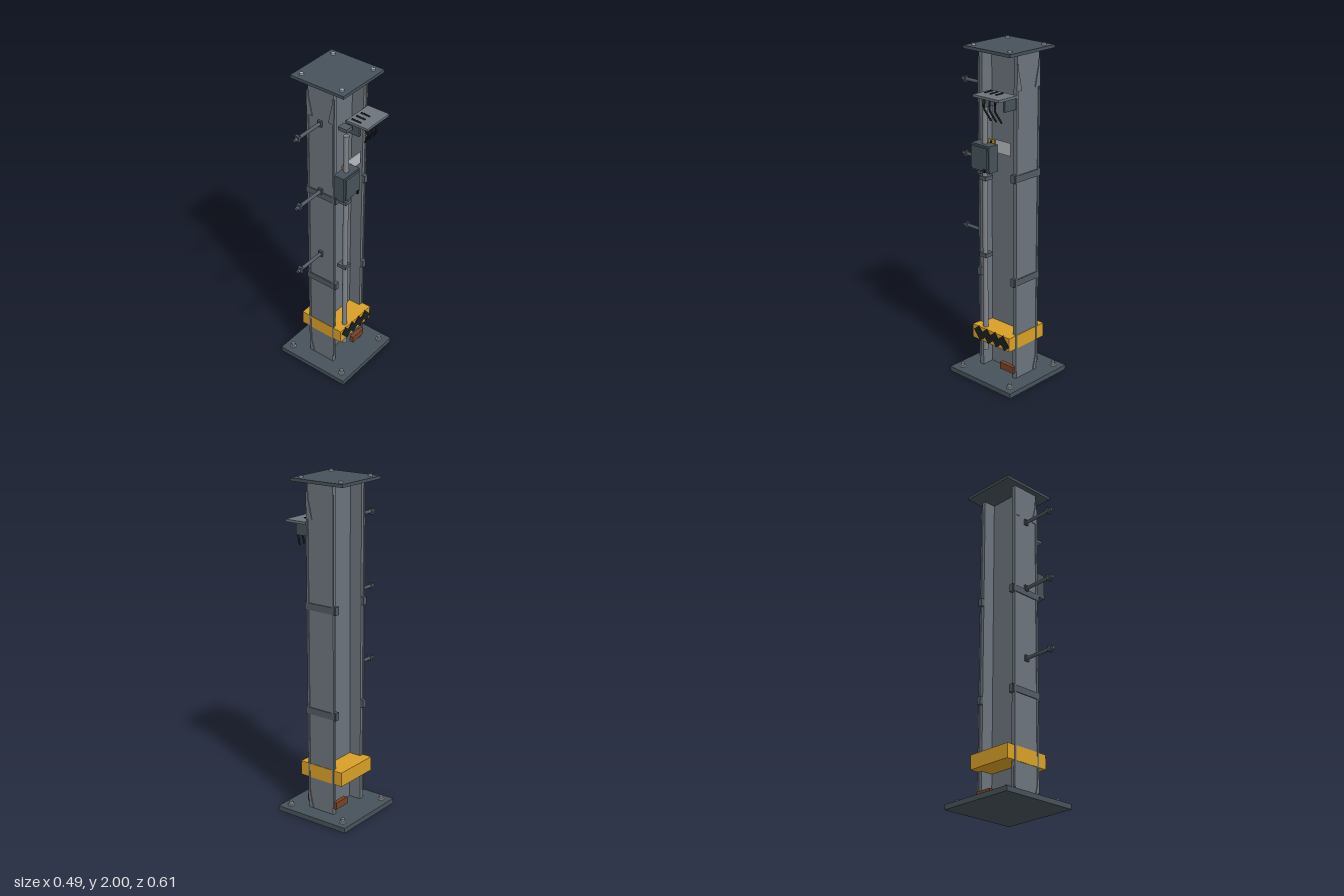
import * as THREE from 'three';

export function createModel() {
  const model = new THREE.Group();
  model.name = 'steelColumn';
  const mat = (name, color) => {
    const m = new THREE.MeshStandardMaterial({ color });
    m.name = name;
    return m;
  };
  const steel = mat('column steel', 0x6c747c);
  const slate = mat('dark plate', 0x46525a);
  const band = mat('band steel', 0x525a62);
  const pipe = mat('conduit grey', 0x80848a);
  const zinc = mat('zinc bolts', 0xa6acb2);
  const yellow = mat('safety yellow', 0xd9a026);
  const black = mat('black', 0x1c1d1f);
  const rust = mat('rust', 0x7a4228);
  const label = mat('label silver', 0xb8bcc0);

  const add = (name, geo, material, x = 0, y = 0, z = 0) => {
    const m = new THREE.Mesh(geo, material);
    m.name = name;
    m.position.set(x, y, z);
    model.add(m);
    return m;
  };
  // box given by its limits on each axis
  const box = (name, material, x0, x1, y0, y1, z0, z1) =>
    add(name, new THREE.BoxGeometry(x1 - x0, y1 - y0, z1 - z0), material,
      (x0 + x1) / 2, (y0 + y1) / 2, (z0 + z1) / 2);
  const rod = (name, material, r, y0, y1, x, z, sides = 16) =>
    add(name, new THREE.CylinderGeometry(r, r, y1 - y0, sides), material, x, (y0 + y1) / 2, z);

  const cz = -0.06; // column axis
  const face = 0.144; // axis to outer flange face

  // end plates and their bolts
  box('basePlate', slate, -0.245, 0.245, 0, 0.03, cz - 0.245, cz + 0.245);
  box('topPlate', slate, -0.178, 0.178, 1.972, 1.99, cz - 0.176, cz + 0.176);
  for (const sx of [-1, 1]) for (const sz of [-1, 1]) {
    const x = sx * 0.192, z = cz + sz * 0.192;
    rod('baseWasher', zinc, 0.019, 0.03, 0.038, x, z, 12);
    rod('baseNut', pipe, 0.012, 0.038, 0.056, x, z, 6);
    rod('topBolt', zinc, 0.013, 1.99, 2.0, sx * 0.135, cz + sz * 0.135, 6);
  }

  // I-section column
  box('web', steel, -0.011, 0.011, 0.03, 1.972, cz - 0.125, cz + 0.125);
  const gusset = (name, y0, h, w) => {
    for (const sx of [-1, 1]) for (const sz of [-1, 1]) {
      const s = new THREE.Shape();
      const pts = [[sx * 0.088, y0], [sx * (0.088 - w), y0], [sx * 0.088, y0 + h]];
      s.setFromPoints(pts.map(p => new THREE.Vector2(...p)));
      const g = new THREE.ExtrudeGeometry(s, { depth: 0.006, bevelEnabled: false });
      add(name, g, steel, 0, 0, cz + sz * (face + 0.002) - 0.003);
    }
  };
  gusset('topGusset', 1.77, 0.15, 0.034);
  gusset('footGusset', 0.035, 0.12, 0.03);
  for (const s of [-1, 1]) {
    const z = cz + s * (face - 0.0125);
    box('flange', steel, -0.088, 0.088, 0.03, 1.972, z - 0.0125, z + 0.0125);
    for (const sx of [-1, 1])
      box('edgeWeld', steel, sx * 0.087 - 0.006, sx * 0.087 + 0.006, 0.08, 1.92,
        cz + s * face - 0.005, cz + s * face + 0.005);

    // straps across each flange with end clips
    for (const y of [0.647, 1.273]) {
      const zo = cz + s * face;
      box('strap', band, -0.1, 0.1, y - 0.02, y + 0.02, zo - 0.006, zo + 0.006);
      for (const sx of [-1, 1])
        box('strapClip', band, sx * 0.097 - 0.011, sx * 0.097 + 0.011, y - 0.024, y + 0.024,
          z - 0.014, z + 0.014);
    }

    // rusty blocks at the foot
    box('footBlock', rust, s * 0.094 - 0.013, s * 0.094 + 0.013, 0.066, 0.108, -0.2, -0.094);
  }

  // yellow guard with hazard stripes on its left side
  box('guard', yellow, -0.148, 0.148, 0.227, 0.313, cz - 0.147, cz + 0.147);
  for (let i = 0; i < 4; i++) {
    const m = add('hazardStripe', new THREE.BoxGeometry(0.007, 0.08, 0.05), black,
      0.148, 0.27, 0.032 - i * 0.065);
    m.rotation.x = 0.7;
  }

  // step pegs on the front
  for (const y of [0.853, 1.3, 1.745]) {
    const m = add('stepPeg', new THREE.CylinderGeometry(0.0105, 0.0105, 0.222, 12), band, 0, y, 0.191);
    m.rotation.x = Math.PI / 2;
    box('pegHead', slate, -0.013, 0.013, y - 0.018, y + 0.018, 0.267, 0.285);
    box('pegCollar', slate, -0.013, 0.013, y - 0.018, y + 0.018, 0.083, 0.097);
  }

  // conduit, clamps and junction box
  const px = 0.118, pz = 0.011;
  rod('conduit', pipe, 0.0155, 0.16, 1.675, px, pz, 20);
  for (const y of [0.773, 1.24, 1.72])
    box('conduitClamp', band, 0.08, 0.14, y - 0.011, y + 0.011, pz - 0.026, pz + 0.026);
  box('junctionBox', slate, 0.088, 0.157, 1.286, 1.443, pz - 0.071, pz + 0.071);
  box('junctionLid', slate, 0.157, 0.167, 1.297, 1.432, pz - 0.06, pz + 0.06);
  box('lidLatch', black, 0.165, 0.172, 1.29, 1.31, pz - 0.05, pz - 0.035);

  // label and warning tag beside the box
  box('labelPlate', label, 0.084, 0.09, 1.395, 1.47, -0.157, -0.043);
  box('warningTag', yellow, 0.086, 0.092, 1.4, 1.465, -0.038, 0.01);
  box('warningTagMark', black, 0.0915, 0.094, 1.43, 1.458, -0.018, -0.006);

  // cable shelf, its two brackets and hanging cables
  box('cableShelf', steel, 0.095, 0.238, 1.736, 1.75, -0.21, -0.015);
  for (const z of [-0.037, -0.187])
    box('shelfBracket', slate, 0.08, 0.173, 1.668, 1.737, z - 0.009, z + 0.009);
  for (const z of [-0.043, -0.083, -0.123]) {
    const path = new THREE.CurvePath();
    const pts = [[0.115, 1.752, z], [0.172, 1.75, z], [0.204, 1.672, z - 0.025], [0.17, 1.603, z - 0.045]]
      .map(p => new THREE.Vector3(...p));
    for (let i = 0; i < 3; i++) path.add(new THREE.LineCurve3(pts[i], pts[i + 1]));
    add('cable', new THREE.TubeGeometry(path, 24, 0.0055, 8), black);
  }

  return model;
}
